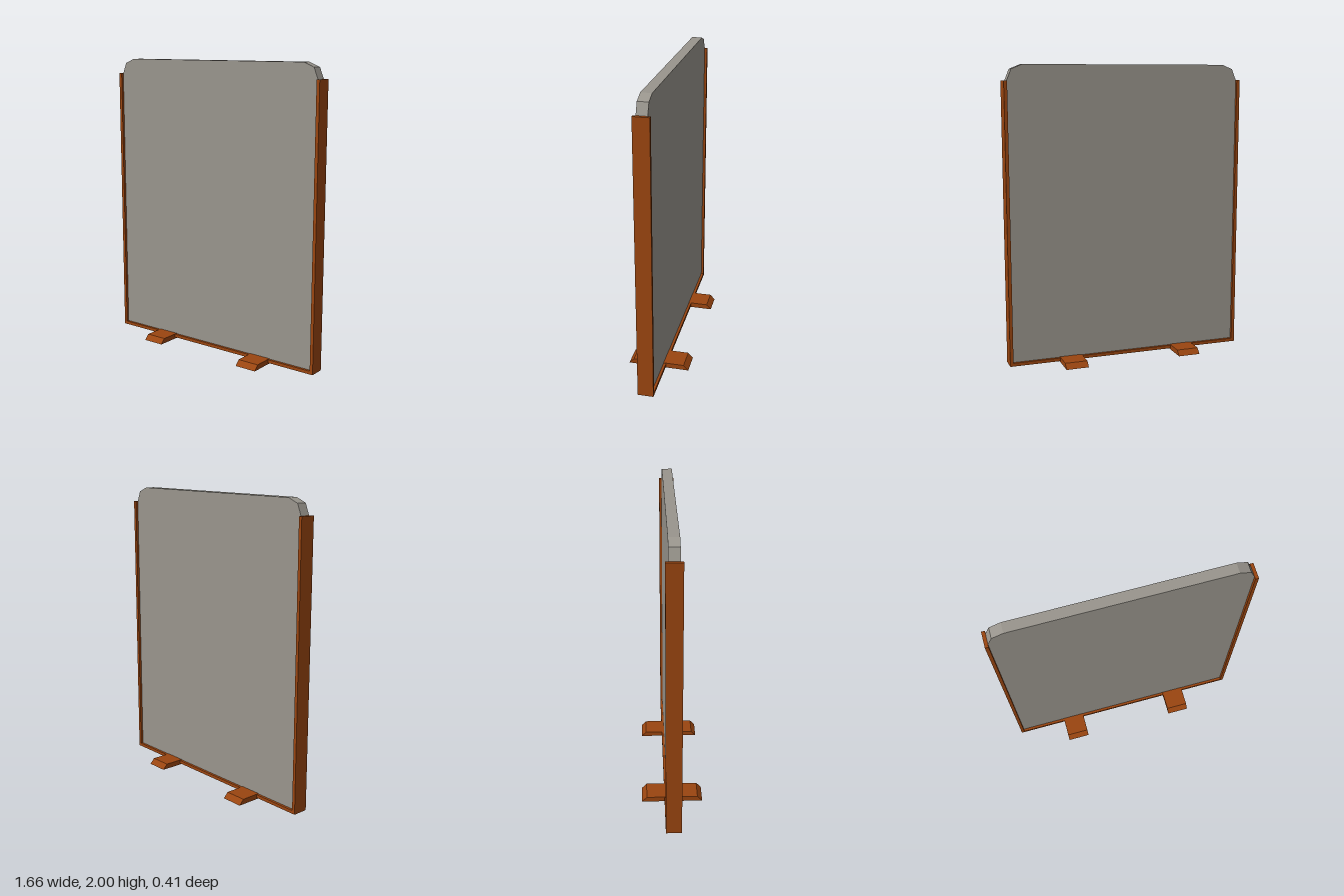
import * as THREE from 'three';

export function createModel() {
  const group = new THREE.Group();
  const wood = new THREE.MeshStandardMaterial({ color: 0x9a4510 });
  wood.name = 'brown frame';
  const grey = new THREE.MeshStandardMaterial({ color: 0x99958d });
  grey.name = 'grey panel';

  const add = (name, geometry, material) => {
    const mesh = new THREE.Mesh(geometry, material);
    mesh.name = name;
    group.add(mesh);
    return mesh;
  };

  // Extrude an outline symmetrically about its own plane
  const slab = (points, depth) => {
    const shape = new THREE.Shape(points.map(([x, y]) => new THREE.Vector2(x, y)));
    return new THREE.ExtrudeGeometry(shape, { depth, bevelEnabled: false }).translate(0, 0, -depth / 2);
  };

  // Panel with clipped upper corners
  add('panel', slab([
    [-0.806, 0.032], [0.806, 0.032], [0.806, 1.897], [0.776, 1.97], [0.702, 2],
    [-0.702, 2], [-0.776, 1.97], [-0.806, 1.897],
  ], 0.07), grey);

  // U-shaped frame, open at the top
  add('frame', slab([
    [-0.828, 0.01], [0.828, 0.01], [0.828, 1.897], [0.806, 1.897],
    [0.806, 0.032], [-0.806, 0.032], [-0.806, 1.897], [-0.828, 1.897],
  ], 0.105), wood);

  // Two feet running front to back with sloping ends
  for (const [name, x] of [['leftFoot', 0.405], ['rightFoot', -0.405]]) {
    const profile = [[-0.207, 0], [0.207, 0], [0.174, 0.035], [-0.174, 0.035]];
    const foot = add(name, slab(profile, 0.154), wood);
    foot.rotation.y = Math.PI / 2;
    foot.position.x = x;
  }
  return group;
}
